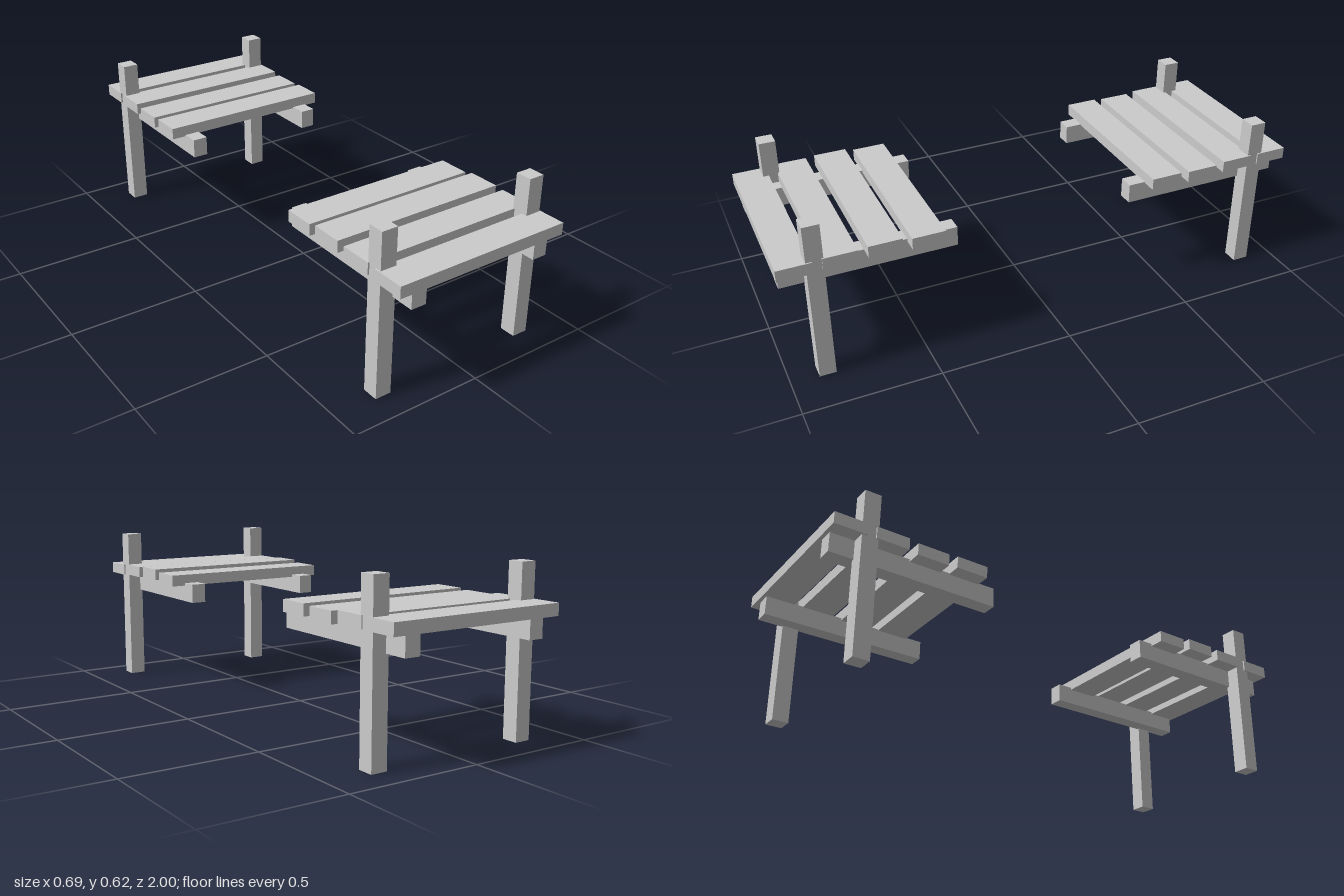
import * as THREE from 'three';

const material = new THREE.MeshStandardMaterial({ color: 0xcccccc, flatShading: true });

// Timber box given by its x, y and z ranges
function timber(name, [x0, x1], [y0, y1], [z0, z1]) {
  const mesh = new THREE.Mesh(new THREE.BoxGeometry(x1 - x0, y1 - y0, Math.abs(z1 - z0)), material);
  mesh.position.set((x0 + x1) / 2, (y0 + y1) / 2, (z0 + z1) / 2);
  mesh.name = name;
  return mesh;
}

// One half of the broken jetty: planks are [z near the gap, z far side, underside y]
function jettyEnd(name, planks, beamZ, postZ) {
  const end = new THREE.Group();
  end.name = name;
  planks.forEach(([z0, z1, y]) => end.add(timber('plank', [-0.346, 0.345], [y, y + 0.044], [z0, z1])));
  for (const [side, s] of [['left', 1], ['right', -1]]) {
    const span = (a, b) => (s > 0 ? [a, b] : [-b, -a]);
    end.add(timber(side + 'Beam', span(0.231, 0.289), [0.372, 0.446], beamZ));
    end.add(timber(side + 'Post', span(0.279, 0.34), [0, 0.617], postZ));
  }
  return end;
}

export function createModel() {
  const model = new THREE.Group();
  model.name = 'brokenJetty';
  model.add(
    jettyEnd('frontEnd', [
      [0.409, 0.532, 0.436], [0.564, 0.687, 0.446], [0.72, 0.843, 0.442], [0.877, 1, 0.437],
    ], [0.347, 0.988], [0.837, 0.898]),
    jettyEnd('backEnd', [
      [-0.411, -0.533, 0.441], [-0.567, -0.689, 0.437], [-0.722, -0.845, 0.444], [-0.877, -1, 0.444],
    ], [-0.345, -0.986], [-0.835, -0.896]),
  );
  return model;
}
